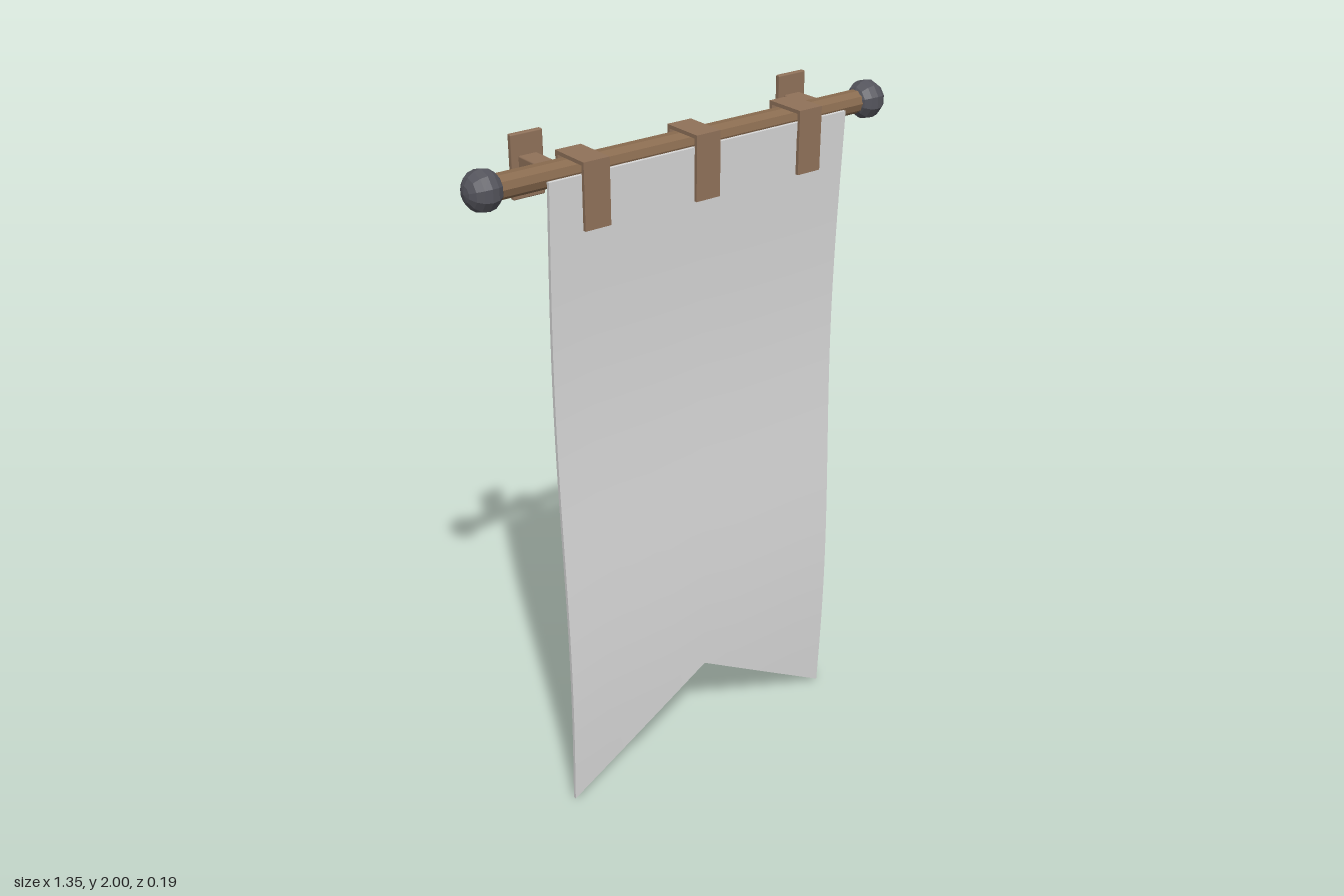
import * as THREE from 'three';
import { RoundedBoxGeometry } from 'three/addons/geometries/RoundedBoxGeometry.js';

const mat = (name, color, flatShading = false) => {
  const m = new THREE.MeshStandardMaterial({ color, flatShading });
  m.name = name;
  return m;
};

const ROD_Y = 1.916, ROD_Z = 0.013;

export function createModel() {
  const rodWood = mat('rod wood', 0x886a4e, true);
  const leather = mat('strap brown', 0x8f7159);
  const iron = mat('dark iron', 0x54545c, true);
  const fabric = mat('grey cloth', 0xd6d6d6);

  const model = new THREE.Group();
  model.name = 'hangingBanner';

  const add = (parent, name, geometry, material, x, y, z) => {
    const mesh = new THREE.Mesh(geometry, material);
    mesh.name = name;
    mesh.position.set(x, y, z);
    parent.add(mesh);
    return mesh;
  };

  // Horizontal rod
  const rodGeo = new THREE.CylinderGeometry(0.033, 0.033, 1.22, 10).rotateZ(Math.PI / 2);
  add(model, 'rod', rodGeo, rodWood, 0, ROD_Y, ROD_Z);

  // Ball finials and wall brackets, mirrored
  const ballGeo = new THREE.SphereGeometry(0.055, 10, 8).rotateZ(Math.PI / 2).scale(0.93, 1, 1);
  const plateGeo = new RoundedBoxGeometry(0.094, 0.17, 0.016, 1, 0.004);
  const armGeo = new RoundedBoxGeometry(0.055, 0.055, 0.088, 1, 0.004);
  for (const [side, s] of [['left', 1], ['right', -1]]) {
    add(model, side + 'Finial', ballGeo, iron, s * 0.622, ROD_Y, ROD_Z);
    const bracket = new THREE.Group();
    bracket.name = side + 'WallBracket';
    add(bracket, 'wallPlate', plateGeo, leather, s * 0.432, 1.915, -0.09);
    add(bracket, 'bracketArm', armGeo, leather, s * 0.432, ROD_Y, -0.04);
    model.add(bracket);
  }

  // Straps folded over the rod: long front, flat top, short back
  for (const [i, x] of [-0.346, 0, 0.346].entries()) {
    const strap = new THREE.Group();
    strap.name = 'strap' + (i + 1);
    add(strap, 'strapFront', new THREE.BoxGeometry(0.077, 0.177, 0.01), leather, x, 1.8695, 0.09);
    add(strap, 'strapTop', new THREE.BoxGeometry(0.077, 0.01, 0.115), leather, x, 1.953, 0.0275);
    add(strap, 'strapBack', new THREE.BoxGeometry(0.077, 0.07, 0.01), leather, x, 1.923, -0.025);
    model.add(strap);
  }

  // Gently waving cloth with a notch cut into its lower edge
  const halfWidth = 0.48, top = 1.925, notch = 0.29;
  const clothGeo = new THREE.BoxGeometry(halfWidth * 2, 1, 0.01, 8, 32, 1);
  const p = clothGeo.attributes.position;
  for (let i = 0; i < p.count; i++) {
    const bottom = notch * (1 - Math.abs(p.getX(i)) / halfWidth);
    const y = THREE.MathUtils.lerp(bottom, top, p.getY(i) + 0.5);
    const wave = 0.077 + 0.013 * Math.cos(2 * Math.PI * (y - 0.42) / 1.85);
    p.setY(i, y);
    p.setZ(i, p.getZ(i) + wave);
  }
  clothGeo.computeVertexNormals();
  add(model, 'cloth', clothGeo, fabric, 0, 0, 0);

  return model;
}
